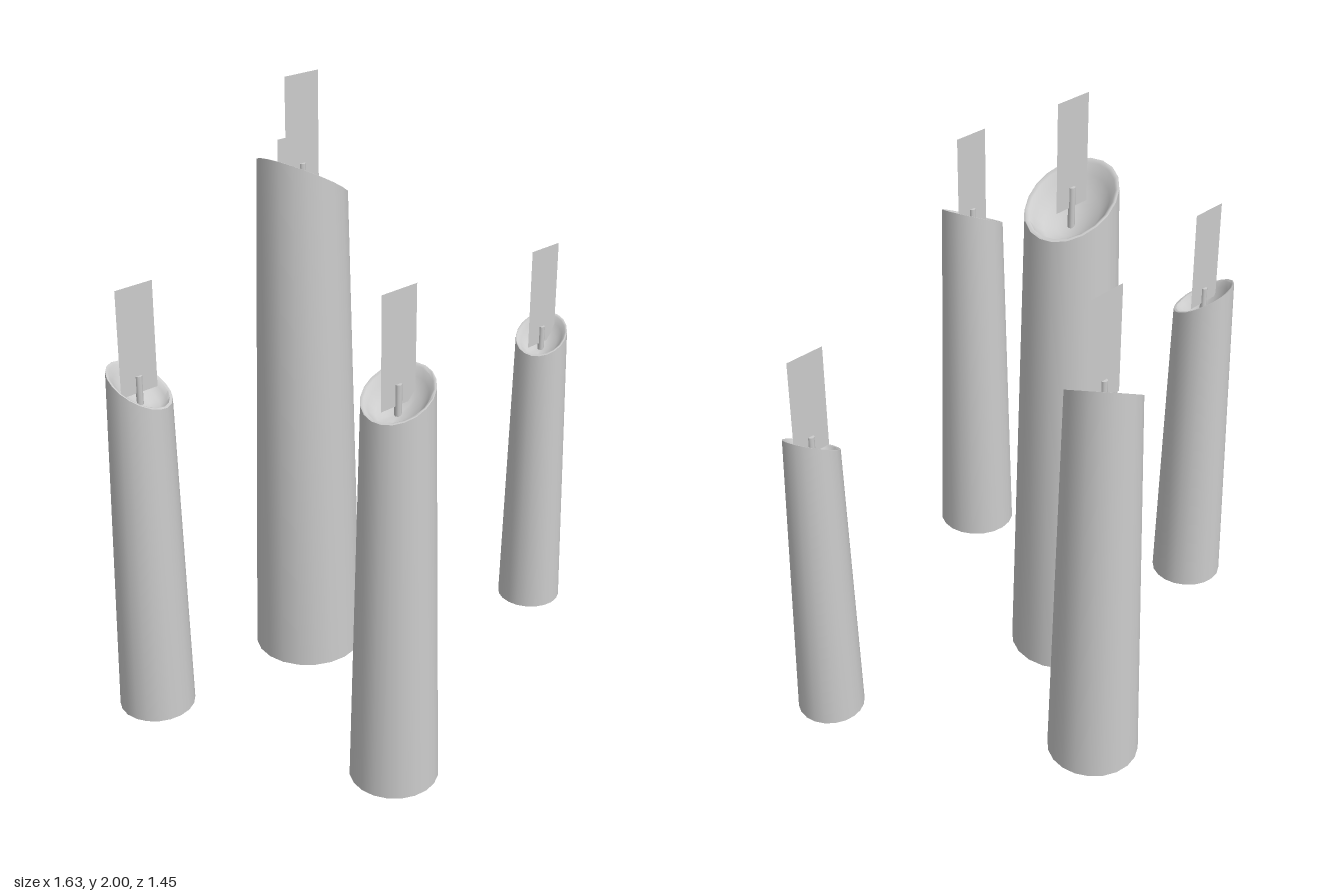
import * as THREE from 'three';
import { toCreasedNormals } from 'three/addons/utils/BufferGeometryUtils.js';

const wax = new THREE.MeshStandardMaterial({ color: 0xcccccc });
const card = new THREE.MeshStandardMaterial({ color: 0xcccccc, side: THREE.DoubleSide });

// position, base and top radius, rim height at the axis, rim slope along x and z, wick top
const CANDLES = [
  { name: 'centreCandle', x: -0.08, z: -0.15, r: 0.182, rt: 0.142, h: 1.68, sx: -0.57, sz: 0.06, wick: 1.72, top: 2.0 },
  { name: 'rightCandle', x: -0.695, z: -0.22, r: 0.123, rt: 0.099, h: 1.14, sx: -0.25, sz: -0.5, wick: 1.17, top: 1.46 },
  { name: 'frontCandle', x: -0.403, z: 0.585, r: 0.138, rt: 0.107, h: 1.283, sx: 0.48, sz: -0.12, wick: 1.31, top: 1.59 },
  { name: 'leftCandle', x: 0.705, z: 0.195, r: 0.11, rt: 0.087, h: 1.027, sx: 0.53, sz: -0.2, wick: 1.055, top: 1.34 },
  { name: 'backCandle', x: 0.267, z: -0.58, r: 0.147, rt: 0.114, h: 1.335, sx: 0.5, sz: -0.35, wick: 1.375, top: 1.655 },
];

// hollow of the melted top, in units of the top radius: [radius, drop]
const BOWL = [[0.97, -0.01], [0.91, 0.02], [0.8, 0.2], [0.6, 0.42], [0.3, 0.56], [0, 0.62]];

// tapered body with a bowl, its rim sheared to a slant
function candleGeometry({ r, rt, h, sx, sz }) {
  const profile = [[0, 0], [r, 0], [rt, h], ...BOWL.map(([k, d]) => [k * rt, h - d * rt])];
  const geo = new THREE.LatheGeometry(profile.map(([a, b]) => new THREE.Vector2(a, b)), 20);
  const p = geo.attributes.position;
  for (let i = 0; i < p.count; i++) {
    if (p.getY(i) > h / 2) p.setY(i, p.getY(i) + sx * p.getX(i) + sz * p.getZ(i));
  }
  return toCreasedNormals(geo, 0.8);
}

export function createModel() {
  const model = new THREE.Group();
  model.name = 'candles';
  for (const c of CANDLES) {
    const group = new THREE.Group();
    group.name = c.name;
    group.position.set(c.x, 0, c.z);

    const body = new THREE.Mesh(candleGeometry(c), wax);
    body.name = 'waxBody';

    // wick standing in the bowl
    const foot = c.h - 0.64 * c.rt;
    const wick = new THREE.Mesh(new THREE.CylinderGeometry(0.011, 0.011, c.wick - foot, 8), wax);
    wick.name = 'wick';
    wick.position.y = (c.wick + foot) / 2;

    // flat flame card facing front
    const flame = new THREE.Mesh(new THREE.PlaneGeometry(0.137, 0.345), card);
    flame.name = 'flame';
    flame.position.y = c.top - 0.1725;

    group.add(body, wick, flame);
    model.add(group);
  }
  return model;
}
